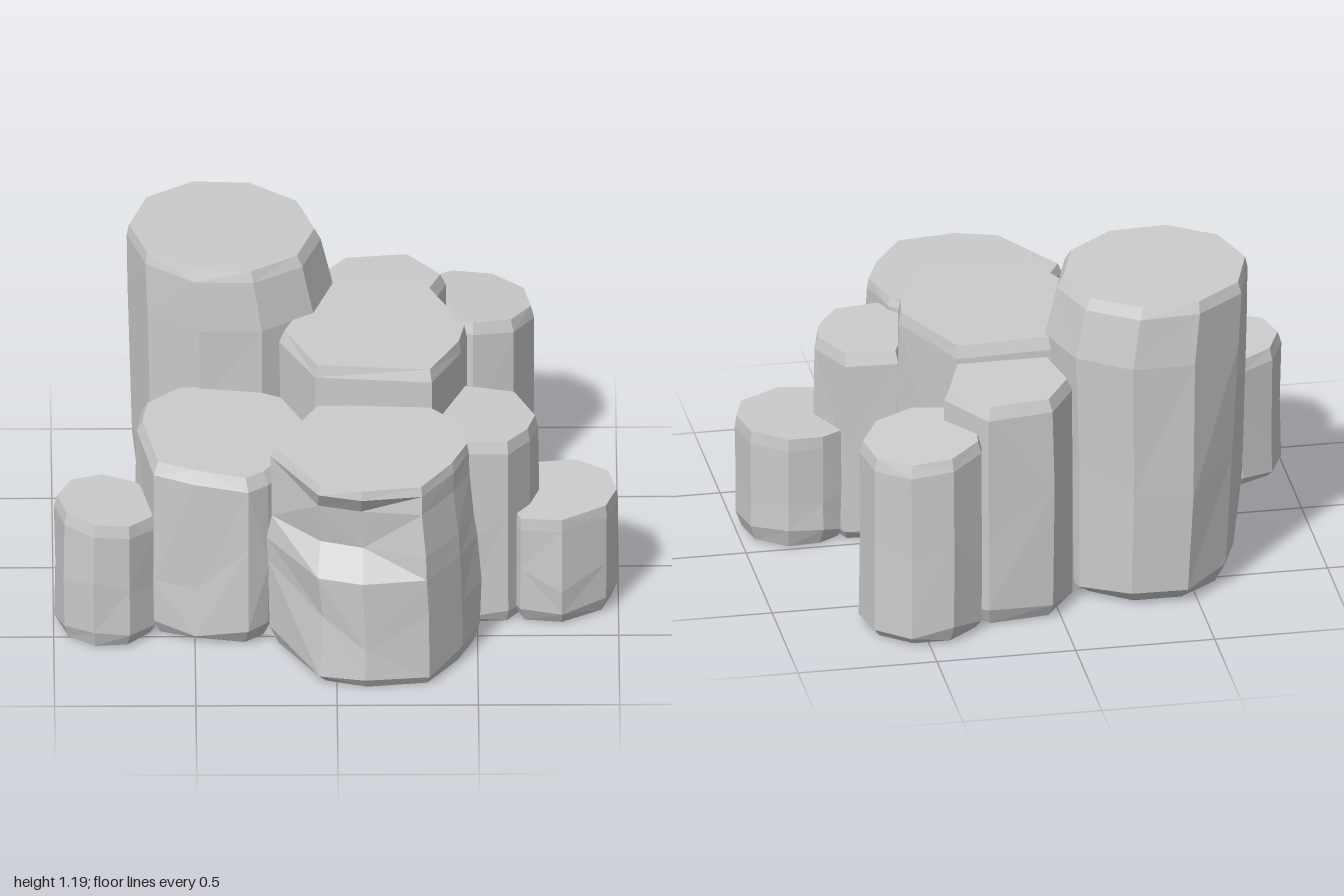
import * as THREE from 'three';

const stone = new THREE.MeshStandardMaterial({ color: 0xcccccc, flatShading: true });

// Repeatable 0..1 value for chipping the walls
const hash = (a, b) => {
  const s = Math.sin(a * 12.9898 + b * 78.233) * 43758.5453;
  return s - Math.floor(s);
};

// Regular plan outline; turn is the angle of the first corner in degrees
const polygon = (cx, cz, rx, rz, sides, turn = 0) => Array.from({ length: sides }, (_, i) => {
  const angle = THREE.MathUtils.degToRad(turn - (i * 360) / sides);
  return [cx + Math.cos(angle) * rx, cz + Math.sin(angle) * rz];
});

// Usual column profile: [height, scale, shift x, shift z]
const profile = (h, top) => [
  [0.01, 0.88, 0, 0], [0.05, 1, 0, 0], [h * 0.45, 1.03, 0, 0], [h - 0.045, 1, 0, 0], [h, top, 0, 0],
];

// Faceted stone column: a plan outline (right, back, left, front) lofted through
// rings and closed at both ends. slope tilts the top, dent moves single wall points.
function column(name, seed, { plan, slope = [0, 0], rings, dent }) {
  const sides = plan.length;
  const cx = plan.reduce((s, p) => s + p[0], 0) / sides;
  const cz = plan.reduce((s, p) => s + p[1], 0) / sides;
  const last = rings.length - 1;
  const height = rings[last][0];
  const pos = [], index = [];

  rings.forEach(([y, scale, sx, sz], r) => {
    plan.forEach(([x, z], i) => {
      const chip = r === 2 ? 0.07 : r > 0 && r < last ? 0.025 : 0;
      const k = scale - chip * hash(i + seed * 7, r);
      const v = new THREE.Vector3(cx + (x - cx) * k + sx, y, cz + (z - cz) * k + sz);
      if (r >= last - 1) v.y += (v.x - cx) * slope[0] + (v.z - cz) * slope[1];
      if (r === 1) v.y += 0.05 * (hash(i, seed) - 0.4);
      if (r === 2) v.y += height * 0.32 * (hash(seed, i) - 0.5);
      if (dent) dent(v, r);
      pos.push(v.x, v.y, v.z);
    });
  });

  // Walls, with the diagonals alternating irregularly
  for (let r = 0; r < last; r++) {
    for (let i = 0; i < sides; i++) {
      const a = r * sides + i, b = r * sides + ((i + 1) % sides);
      const c = a + sides, d = b + sides;
      if (hash(i + r, seed) > 0.5) index.push(a, b, d, a, d, c);
      else index.push(a, b, c, b, d, c);
    }
  }

  // End faces
  const hub = pos.length / 3;
  for (const [y, , sx, sz] of [rings[0], rings[last]]) pos.push(cx + sx, y, cz + sz);
  for (let i = 0; i < sides; i++) {
    const j = (i + 1) % sides;
    index.push(hub, j, i, hub + 1, last * sides + i, last * sides + j);
  }

  const indexed = new THREE.BufferGeometry();
  indexed.setAttribute('position', new THREE.Float32BufferAttribute(pos, 3));
  indexed.setIndex(index);
  const geometry = indexed.toNonIndexed();
  geometry.computeVertexNormals();
  const mesh = new THREE.Mesh(geometry, stone);
  mesh.name = name;
  return mesh;
}

export function createModel() {
  const group = new THREE.Group();
  group.name = 'rockColumns';
  const add = (name, options) => group.add(column(name, group.children.length + 1, options));

  // Core that closes the gaps between the columns and their undersides
  add('core', {
    plan: polygon(0, 0.03, 0.45, 0.6, 8),
    rings: [[0.01, 1, 0, 0], [0.62, 1, 0, 0]],
  });

  // Tall column, wider towards the top
  add('tallColumn', {
    plan: polygon(-0.38, -0.37, 0.36, 0.37, 10), slope: [-0.03, 0],
    rings: [
      [0.01, 0.78, 0.02, 0], [0.06, 0.92, 0.02, 0], [0.5, 1, 0.01, 0],
      [0.95, 1.01, 0.01, 0], [1.14, 0.97, -0.015, 0], [1.18, 0.91, -0.02, 0],
    ],
  });

  // Centre column and the smaller ones behind it
  add('centreColumn', {
    plan: [[0.47, -0.08], [0.36, -0.32], [0.32, -0.41], [-0.05, -0.41], [-0.2, -0.02],
      [-0.08, 0.24], [0.34, 0.26], [0.45, 0.04]],
    slope: [-0.02, 0], rings: profile(0.945, 0.95),
  });
  add('backColumn', {
    plan: [[0.4, -0.58], [0.27, -0.76], [0.03, -0.73], [-0.07, -0.58], [0, -0.3], [0.3, -0.3]],
    slope: [0, 0.06], rings: profile(0.87, 0.9),
  });
  add('backRightColumn', {
    plan: polygon(0.49, -0.66, 0.225, 0.225, 9, 10), slope: [-0.1, 0.06],
    rings: profile(0.73, 0.93),
  });

  // Front column with a hollow broken out of its front left
  add('frontColumn', {
    plan: [[0.51, 0.53], [0.46, 0.35], [0.35, 0.23], [-0.07, 0.23], [-0.24, 0.54],
      [-0.06, 0.84], [0.1, 0.89], [0.33, 0.86], [0.45, 0.68]],
    slope: [0.01, -0.02],
    rings: [
      [0.005, 0.92, 0, 0], [0.05, 1.01, 0, 0], [0.22, 1.02, 0, 0], [0.43, 1, -0.01, 0],
      [0.52, 0.97, -0.01, 0], [0.68, 0.95, -0.02, -0.01], [0.755, 0.95, -0.02, -0.02],
      [0.79, 0.91, -0.02, -0.02],
    ],
    dent: (v, r) => {
      if ((r === 4 || r === 5) && v.x < 0.2 && v.z > 0.65) v.z -= r === 4 ? 0.1 : 0.06;
    },
  });

  // Columns on the two sides
  add('leftColumn', {
    plan: [[-0.04, 0.24], [-0.17, -0.02], [-0.38, -0.1], [-0.57, -0.05], [-0.69, 0.07],
      [-0.71, 0.2], [-0.65, 0.5], [-0.5, 0.55], [-0.31, 0.59], [-0.24, 0.53]],
    slope: [-0.06, -0.04], rings: profile(0.7, 0.91),
  });
  add('smallLeftColumn', {
    plan: polygon(-0.81, 0.4, 0.19, 0.205, 9, 25), slope: [-0.1, 0],
    rings: profile(0.5, 0.93),
  });
  add('rightColumn', {
    plan: [[0.72, 0.2], [0.64, 0.02], [0.45, -0.01], [0.35, 0.25], [0.44, 0.43], [0.61, 0.42], [0.69, 0.31]],
    slope: [-0.05, 0], rings: profile(0.74, 0.91),
  });
  add('smallRightColumn', {
    plan: [[1, 0.22], [0.97, 0.08], [0.85, -0.01], [0.72, 0], [0.64, 0.05], [0.59, 0.24],
      [0.65, 0.42], [0.8, 0.44], [0.96, 0.34]],
    slope: [0.03, 0], rings: profile(0.435, 0.97),
  });

  return group;
}
